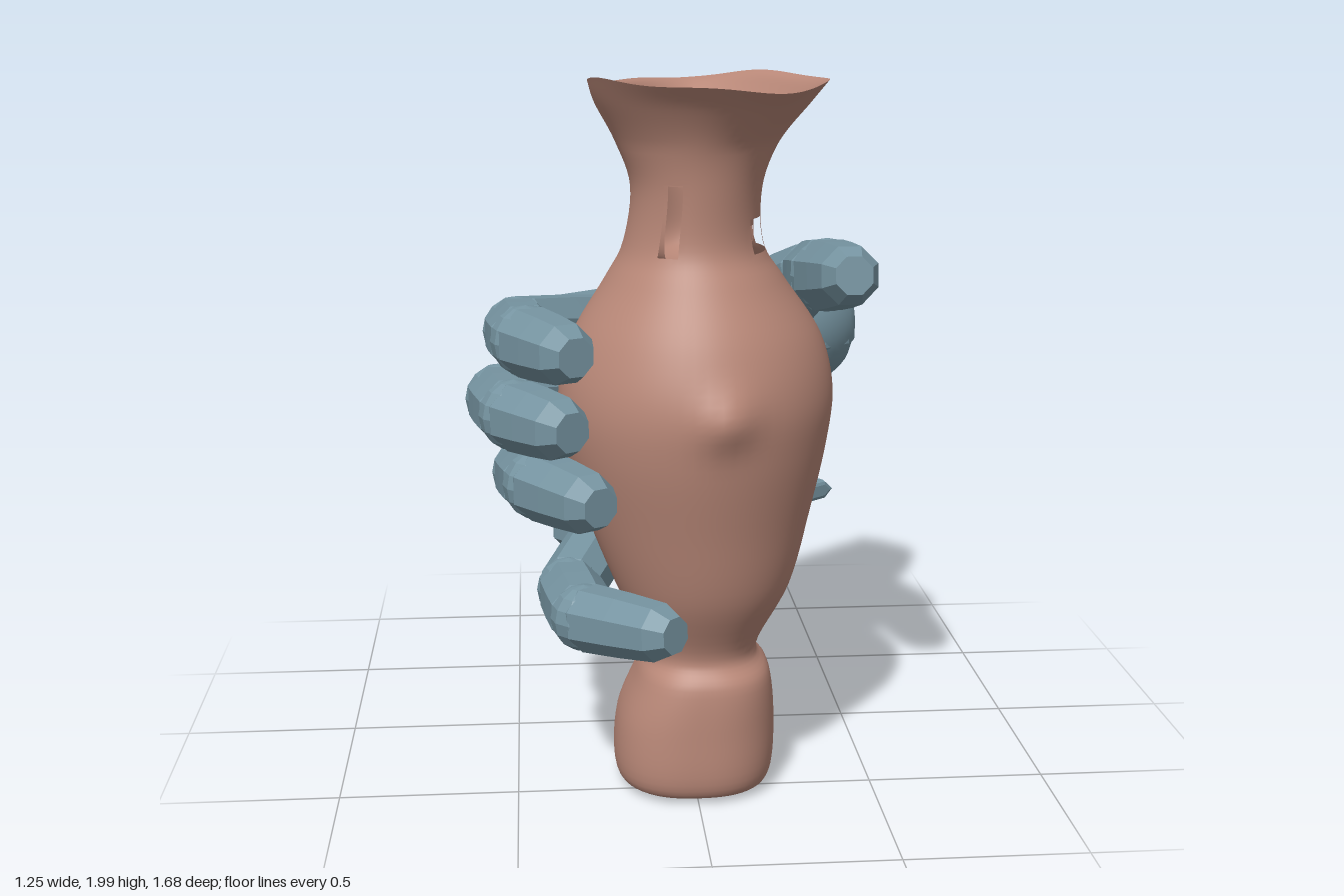
import * as THREE from 'three';

const clay = new THREE.MeshStandardMaterial({ color: 0xb98878, side: THREE.DoubleSide });
const steel = new THREE.MeshStandardMaterial({ color: 0x7694a1, flatShading: true });
const steelSmooth = new THREE.MeshStandardMaterial({ color: 0x7694a1 });

function add(parent, geometry, material, name) {
  const mesh = new THREE.Mesh(geometry, material);
  mesh.name = name;
  parent.add(mesh);
  return mesh;
}

// Smooth value between list entries (Catmull-Rom)
function sample(list, t, k) {
  const s = t * (list.length - 1), i = Math.min(Math.floor(s), list.length - 2), f = s - i;
  const at = j => list[Math.max(0, Math.min(list.length - 1, j))][k];
  const [a, b, c, d] = [at(i - 1), at(i), at(i + 1), at(i + 2)];
  return b + 0.5 * f * (c - a + f * (2 * a - 5 * b + 4 * c - d + f * (3 * (b - c) + d - a)));
}

// Vase surface lofted through rings [y, left x, right x, back z, front z, squareness]
function loftVase(rings, rows) {
  const cols = 64, pos = [], idx = [];
  for (let r = 0; r <= rows; r++) {
    const [y, xl, xr, zb, zf, e] = [0, 1, 2, 3, 4, 5].map(k => sample(rings, r / rows, k));
    const lip = Math.max(0, (y - 1.82) / 0.16);
    const cx = (xl + xr) / 2, cz = zb + (zf - zb) * (0.5 + lip * 0.12);
    for (let c = 0; c < cols; c++) {
      const a = (c / cols) * Math.PI * 2, ca = Math.cos(a), sa = Math.sin(a);
      // the lip is pinched to a spout at the back
      const p = e + lip * (sa > 0 ? 0.25 : -0.2);
      const k = Math.pow(Math.abs(ca) ** p + Math.abs(sa) ** p, -1 / p);
      const x = cx + ca * k * (xr - xl) / 2;
      let z = cz + sa * k * (sa > 0 ? zf - cz : cz - zb);
      // pointed bump on the belly
      if (sa > 0) z += 0.035 * Math.exp(-(((x - 0.06) / 0.07) ** 2) - ((y - 1.13) / 0.07) ** 2);
      // uneven lip height
      pos.push(x, y + lip * 0.013 * (Math.sin(2 * a + 2.6) + 0.4 * Math.sin(5 * a)), z);
    }
  }
  for (let r = 0; r < rows; r++) {
    for (let c = 0; c < cols; c++) {
      const i = r * cols + c, j = r * cols + (c + 1) % cols;
      const y = pos[3 * i + 1], a = (c / cols) * Math.PI * 2;
      // breaks through the neck wall
      const sideHole = y > 1.53 && y < 1.61 && ((a > 0.1 && a < 0.65) || a > 5.85);
      const slit = y > 1.52 && y < 1.72 && a > 1.86 && a < 2.1;
      if (sideHole || slit) continue;
      idx.push(i, i + cols, j, j, i + cols, j + cols);
    }
  }
  const g = new THREE.BufferGeometry();
  g.setAttribute('position', new THREE.Float32BufferAttribute(pos, 3));
  g.setIndex(idx);
  g.computeVertexNormals();
  return g;
}

function buildVase() {
  const vase = new THREE.Group();
  vase.name = 'vase';
  const outside = [
    [0.005, -0.001, 0.001, 0.399, 0.401, 2.3], [0.012, -0.16, 0.17, 0.21, 0.58, 2.4],
    [0.05, -0.22, 0.22, 0.16, 0.64, 2.5], [0.2, -0.215, 0.23, 0.15, 0.645, 2.5],
    [0.34, -0.16, 0.215, 0.18, 0.635, 2.5], [0.42, -0.14, 0.18, 0.21, 0.6, 2.2],
    [0.6, -0.22, 0.27, 0.17, 0.68, 2], [0.8, -0.3, 0.325, 0.09, 0.73, 1.95],
    [1.0, -0.36, 0.37, 0.035, 0.775, 1.9], [1.15, -0.37, 0.385, 0.03, 0.785, 1.85],
    [1.3, -0.33, 0.35, 0.05, 0.74, 1.9], [1.45, -0.24, 0.25, 0.12, 0.66, 2],
    [1.55, -0.19, 0.19, 0.19, 0.615, 2], [1.7, -0.17, 0.185, 0.2, 0.62, 2],
    [1.82, -0.21, 0.23, 0.17, 0.645, 1.9], [1.92, -0.265, 0.31, 0.07, 0.7, 1.75],
    [1.98, -0.285, 0.355, 0.0, 0.755, 1.65]];
  const inside = [
    [1.98, -0.285, 0.355, 0.0, 0.755, 1.65], [1.95, -0.25, 0.31, 0.06, 0.71, 1.7],
    [1.82, -0.18, 0.2, 0.2, 0.62, 1.9], [1.7, -0.15, 0.165, 0.22, 0.6, 2],
    [1.55, -0.16, 0.16, 0.22, 0.585, 2], [1.5, -0.12, 0.12, 0.27, 0.53, 2],
    [1.48, -0.001, 0.001, 0.399, 0.401, 2]];
  add(vase, loftVase(outside, 96), clay, 'vaseOutside');
  add(vase, loftVase(inside, 48), clay, 'vaseInside');
  return vase;
}

// Eight-sided tapered bone from a to b
function bone(parent, a, b, r1, r2, name) {
  const dir = b.clone().sub(a), len = dir.length();
  const profile = [[0, -0.03], [r1 * 0.7, -0.03], [r1, 0.02], [(r1 + r2) * 0.51, len * 0.5],
    [r2, len - 0.02], [r2 * 0.65, len + 0.035], [0, len + 0.035]].map(p => new THREE.Vector2(...p));
  const mesh = add(parent, new THREE.LatheGeometry(profile, 8, Math.PI / 8), steel, name);
  const yAxis = dir.normalize();
  const xAxis = new THREE.Vector3(0, 1, 0).cross(yAxis).normalize();
  const zAxis = xAxis.clone().cross(yAxis);
  mesh.quaternion.setFromRotationMatrix(new THREE.Matrix4().makeBasis(xAxis, yAxis, zAxis));
  mesh.position.copy(a);
}

function buildDigit(name, points, radii) {
  const digit = new THREE.Group();
  digit.name = name;
  const p = points.map(q => new THREE.Vector3(...q));
  for (let i = 0; i < p.length - 1; i++) {
    bone(digit, p[i], p[i + 1], radii[i], radii[i + 1], 'segment' + (i + 1));
    // rounded joint
    add(digit, new THREE.SphereGeometry(radii[i] * 0.98, 12, 8), steel, 'joint').position.copy(p[i]);
  }
  return digit;
}

// Slab in the palm's own plane, between two depths
function slab(parent, pts, z0, z1, bevel, name) {
  const shape = new THREE.Shape(pts.map(q => new THREE.Vector2(...q)));
  const g = new THREE.ExtrudeGeometry(shape, {
    depth: z1 - z0 - 2 * bevel, bevelThickness: bevel, bevelSize: bevel,
    bevelOffset: -bevel, bevelSegments: 2
  });
  g.translate(0, 0, z0 + bevel);
  return add(parent, g, steel, name);
}

function buildPalm() {
  const palm = new THREE.Group();
  palm.name = 'palm';
  palm.rotation.y = 0.682;
  const knuckles = [1.23, 1.03, 0.82, 0.6];
  // forked wrist edge, bottom to top
  const wrist = [[0.82, 0.52], [0.86, 0.55], [0.82, 0.585], [0.64, 0.585], [0.64, 0.68],
    [0.8, 0.68], [0.8, 0.93], [0.74, 0.93], [0.74, 1.07], [0.86, 1.07], [0.86, 1.15],
    [0.7, 1.15], [0.7, 1.25], [0.88, 1.25], [0.9, 1.285], [0.88, 1.325]];
  const lobes = knuckles.flatMap(y => [[-0.04, y + 0.083], [-0.17, y + 0.083], [-0.21, y + 0.045],
    [-0.21, y - 0.045], [-0.17, y - 0.083], [-0.04, y - 0.083]]);
  slab(palm, [[0.42, 0.48], [0.52, 0.48], [0.57, 0.52], ...wrist, [0.45, 1.325], ...lobes],
    -0.358, -0.26, 0.012, 'backPlate');
  slab(palm, [[0.56, 0.52], ...wrist, [0.56, 1.325]], -0.28, -0.15, 0.014, 'wristFork');
  // inner pad, thinning towards the index finger
  const pad = slab(palm, [[0, 0.53], [0.42, 0.485], [0.62, 0.53], [0.62, 1.32], [0, 1.32]],
    -0.35, -0.145, 0.03, 'palmPad').geometry;
  const v = pad.attributes.position;
  for (let i = 0; i < v.count; i++) {
    if (v.getZ(i) > -0.25 && v.getY(i) > 0.9) v.setZ(i, v.getZ(i) - 0.085);
  }
  // angled brace at the heel and plate behind the little finger
  slab(palm, [[0.5, 0.49], [0.56, 0.54], [0.36, 0.7], [0.44, 0.83], [0.38, 0.87], [0.27, 0.7]],
    -0.22, -0.14, 0.012, 'heelBrace');
  slab(palm, [[0, 0.515], [0.46, 0.475], [0.52, 0.51], [0.37, 0.7], [0.31, 0.66], [0, 0.685]],
    -0.366, -0.3, 0.008, 'heelPlate');
  for (const y of knuckles) {
    const pin = add(palm, new THREE.CylinderGeometry(0.07, 0.07, 0.1, 16), steel, 'knucklePin');
    pin.position.set(-0.09, y, -0.21);
    const tab = add(palm, new THREE.BoxGeometry(0.16, 0.05, 0.1), steel, 'knuckleTab');
    tab.position.set(-0.04, y, -0.2);
  }
  // thumb socket: a broad bowl cut flat at the back, the top and the wrist
  const bowl = new THREE.SphereGeometry(1, 48, 32).scale(0.26, 0.24, 0.23);
  const b = bowl.attributes.position;
  for (let i = 0; i < b.count; i++) {
    b.setXYZ(i, Math.min(b.getX(i), 0.11), Math.min(b.getY(i), 0.17), Math.max(b.getZ(i), -0.08));
  }
  bowl.computeVertexNormals();
  add(palm, bowl, steelSmooth, 'thumbSocket').position.set(0.71, 1.15, -0.24);
  // rounded wrist lugs beside the socket, outlined from above
  const plan = new THREE.Shape([[0.6, 0.3], [0.85, 0.33], [0.905, 0.29], [0.91, 0.15], [0.87, 0.08],
    [0.78, 0.025], [0.66, 0.02], [0.58, 0.08]].map(q => new THREE.Vector2(...q)));
  for (const [y, h] of [[1.25, 0.075], [1.07, 0.08]]) {
    const lug = new THREE.ExtrudeGeometry(plan, {
      depth: h - 0.02, bevelThickness: 0.01, bevelSize: 0.01, bevelOffset: -0.01, bevelSegments: 2
    }).rotateX(-Math.PI / 2);
    add(palm, lug, steel, 'wristLug').position.y = y + 0.01;
  }
  return palm;
}

export function createModel() {
  const model = new THREE.Group();
  model.add(buildVase());
  const hand = new THREE.Group();
  hand.name = 'hand';
  model.add(hand);
  hand.add(buildPalm());
  hand.add(buildDigit('indexFinger',
    [[-0.23, 1.23, -0.07], [-0.48, 1.29, 0.29], [-0.455, 1.31, 0.55], [-0.345, 1.31, 0.76]],
    [0.1, 0.098, 0.098, 0.083]));
  hand.add(buildDigit('middleFinger',
    [[-0.23, 1.03, -0.07], [-0.53, 1.1, 0.3], [-0.49, 1.11, 0.55], [-0.36, 1.11, 0.74]],
    [0.1, 0.1, 0.098, 0.085]));
  hand.add(buildDigit('ringFinger',
    [[-0.23, 0.82, -0.07], [-0.46, 0.89, 0.31], [-0.43, 0.92, 0.56], [-0.29, 0.92, 0.78]],
    [0.1, 0.1, 0.098, 0.083]));
  hand.add(buildDigit('littleFinger',
    [[-0.22, 0.6, -0.07], [-0.345, 0.53, 0.28], [-0.31, 0.53, 0.53], [-0.1, 0.55, 0.74]],
    [0.095, 0.095, 0.095, 0.08]));
  hand.add(buildDigit('thumb',
    [[0.33, 1.23, -0.46], [0.405, 1.38, -0.1], [0.4, 1.42, 0.2], [0.42, 1.465, 0.5]],
    [0.135, 0.1, 0.108, 0.085]));
  return model;
}
